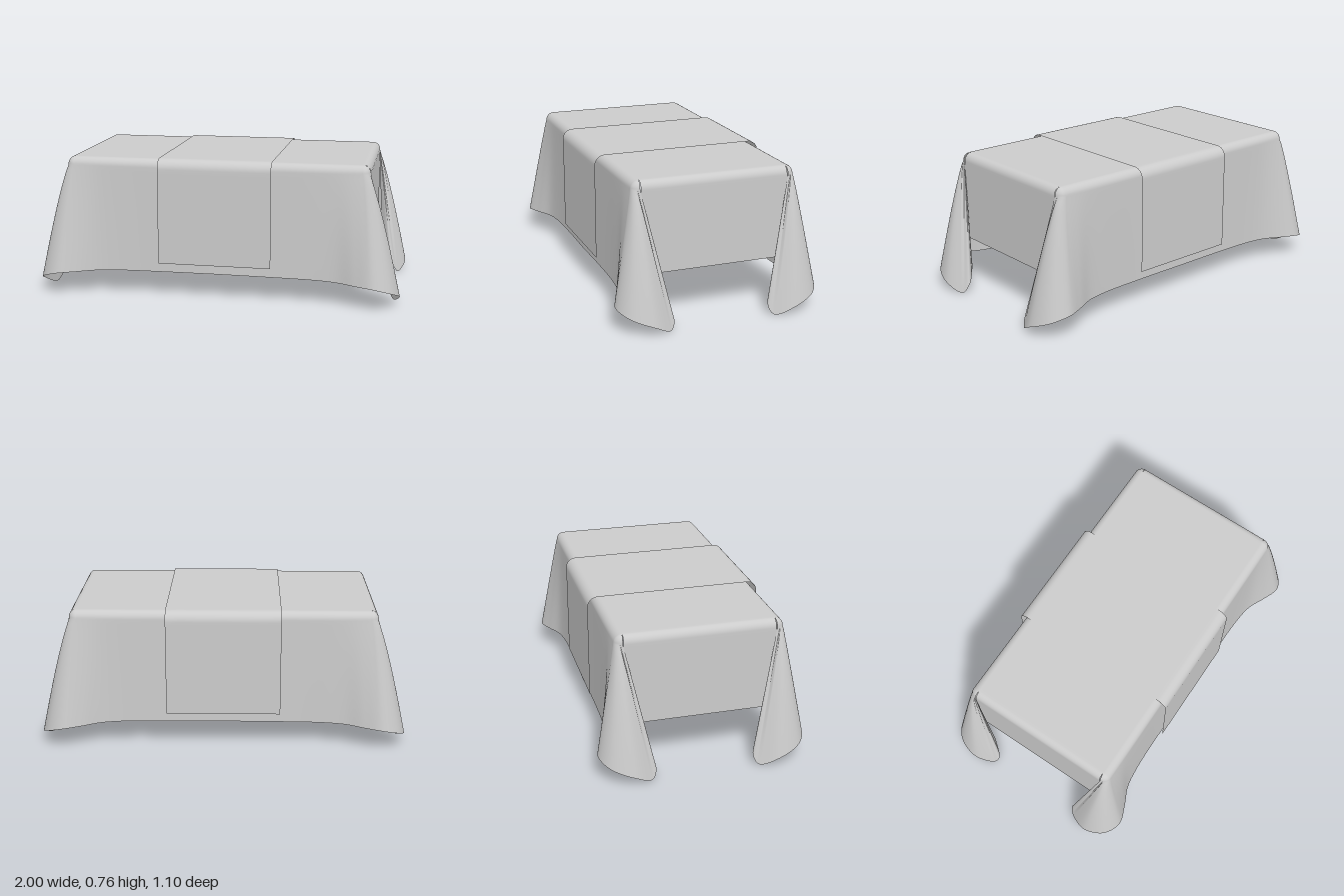
import * as THREE from 'three';

const material = new THREE.MeshStandardMaterial({ color: 0xcccccc, side: THREE.DoubleSide });
const HALF_X = 0.79, HALF_Z = 0.40, TOP = 0.76;   // flat part of the table top
const RX = 0.04, RZ = 0.045;                      // rim radii

// Smooth sheet from a rule p(u, v), with u and v in 0..1
function sheet(name, nu, nv, p, flatFirstRow = false) {
  const pos = [], index = [];
  for (let j = 0; j <= nv; j++)
    for (let i = 0; i <= nu; i++) pos.push(...p(i / nu, j / nv));
  for (let j = 0; j < nv; j++)
    for (let i = 0; i < nu; i++) {
      const a = j * (nu + 1) + i, b = a + nu + 1;
      index.push(a, b, a + 1, a + 1, b, b + 1);
    }
  const g = new THREE.BufferGeometry();
  g.setAttribute('position', new THREE.Float32BufferAttribute(pos, 3));
  g.setIndex(index);
  g.computeVertexNormals();
  if (flatFirstRow)
    for (let i = 0; i <= nu; i++) g.attributes.normal.setXYZ(i, 0, 1, 0);
  const mesh = new THREE.Mesh(g, material);
  mesh.name = name;
  return mesh;
}

// Arch profile: up one side, over rounded rims, down the other; [across, y] points
function arch(half, top, bottom, rx, ry) {
  const side = [[half, bottom], [half, bottom + 0.02], [half, (bottom + top) / 2], [half, top - ry - 0.02]];
  for (let i = 0; i <= 8; i++) {
    const a = (i / 8) * Math.PI / 2;
    side.push([half - rx + rx * Math.cos(a), top - ry + ry * Math.sin(a)]);
  }
  side.push([half - rx - 0.02, top]);
  return [...side.map(([x, y]) => [-x, y]), ...side.reverse()];
}

// Hem of the hanging side, from the middle to the curled corner
const hem = new THREE.CatmullRomCurve3([
  [0, 0.14, 0.458], [0.3, 0.137, 0.453], [0.55, 0.135, 0.458], [0.67, 0.132, 0.475],
  [0.77, 0.13, 0.52], [0.87, 0.125, 0.552], [0.96, 0.095, 0.505], [1.0, 0.05, 0.39],
  [0.96, 0.005, 0.285], [0.925, 0.06, 0.262], [0.86, 0.12, 0.33],
].map(p => new THREE.Vector3(...p)));

function skirtPoint(u, v) {
  const t = u * 2 - 1, sign = Math.sign(t), k = Math.abs(t) * 10;
  const h = hem.getPoint(Math.abs(t));
  const x0 = k < 5 ? Math.min(HALF_X, h.x * 0.95) : HALF_X;
  // direction in which this strip leaves the table corner
  const turn = THREE.MathUtils.clamp((k - 4.8) / 4.2, 0, 1) * 1.48;
  const arcPart = 0.25;
  const a = Math.min(v / arcPart, 1) * Math.PI / 2;
  const x = x0 + RX * Math.sin(turn) * Math.sin(a);
  const z = HALF_Z + RZ * Math.cos(turn) * Math.sin(a);
  const y = TOP - RZ * (1 - Math.cos(a));
  const w = Math.max(0, (v - arcPart) / (1 - arcPart));
  const bulge = k > 8 ? w : Math.pow(w, 0.78);
  return [
    sign * THREE.MathUtils.lerp(x, h.x, bulge),
    THREE.MathUtils.lerp(y, h.y, w),
    THREE.MathUtils.lerp(z, h.z, w),
  ];
}

export function createModel() {
  const group = new THREE.Group();
  group.name = 'tablecloth';

  // Top and both flat end panels, the panels widening slightly downwards
  const cover = arch(HALF_X + RX, TOP, 0.27, RX, RZ);
  group.add(sheet('topAndEndPanels', cover.length - 1, 8, (u, v) => {
    const [x, y] = cover[Math.round(u * (cover.length - 1))];
    const spread = HALF_Z + 0.04 * Math.max(0, (TOP - RZ - y) / 0.45);
    return [x, y, (v * 2 - 1) * spread];
  }));

  // Long hanging sides with curled corners
  const front = sheet('frontSkirt', 160, 32, skirtPoint, true);
  const back = front.clone();
  back.name = 'backSkirt';
  back.rotation.y = Math.PI;
  group.add(front, back);

  // Runner laid across the middle
  const band = arch(0.475, 0.766, 0.19, 0.055, 0.055);
  group.add(sheet('runner', 8, band.length - 1, (u, v) => {
    const [z, y] = band[Math.round(v * (band.length - 1))];
    return [(u * 2 - 1) * 0.31, y, z];
  }));

  return group;
}
